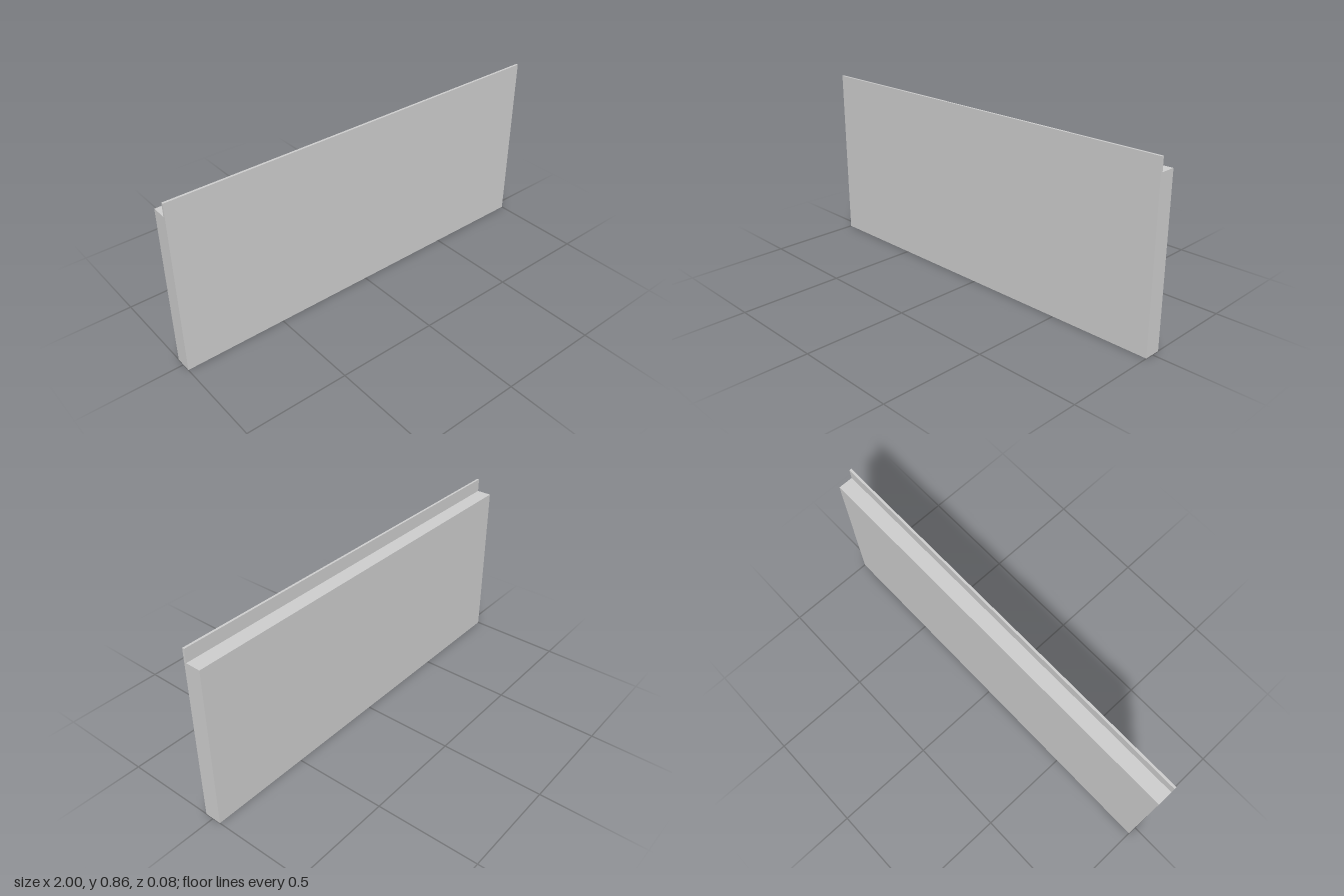
import * as THREE from 'three';

const LENGTH = 2;
// Cross-section as [z, y]: up the front, over the lip, down to the ledge, down the back
const PROFILE = [
  [0.042, 0], [0.042, 0.861], [0.031, 0.861],
  [0.031, 0.796], [-0.042, 0.796], [-0.042, 0],
];
const PANEL_NAMES = ['frontPanel', 'lipTop', 'lipBack', 'ledge', 'backPanel'];

export function createModel() {
  const group = new THREE.Group();
  group.name = 'panel';
  const material = new THREE.MeshStandardMaterial({ color: 0xcccccc, side: THREE.DoubleSide });

  const add = (name, geometry) => {
    const mesh = new THREE.Mesh(geometry, material);
    mesh.name = name;
    group.add(mesh);
    return mesh;
  };

  // One flat sheet per profile segment; the underside stays open
  PANEL_NAMES.forEach((name, i) => {
    const [z0, y0] = PROFILE[i];
    const [z1, y1] = PROFILE[i + 1];
    const sheet = new THREE.PlaneGeometry(LENGTH, Math.hypot(z1 - z0, y1 - y0));
    sheet.rotateX(Math.atan2(z1 - z0, y1 - y0));
    add(name, sheet).position.set(0, (y0 + y1) / 2, (z0 + z1) / 2);
  });

  // End caps, facing outward on both sides
  for (const side of [-1, 1]) {
    const outline = new THREE.Shape(PROFILE.map(([z, y]) => new THREE.Vector2(-side * z, y)));
    const cap = new THREE.ShapeGeometry(outline);
    cap.rotateY(side * Math.PI / 2);
    add(side > 0 ? 'leftEnd' : 'rightEnd', cap).position.x = side * LENGTH / 2;
  }

  return group;
}
